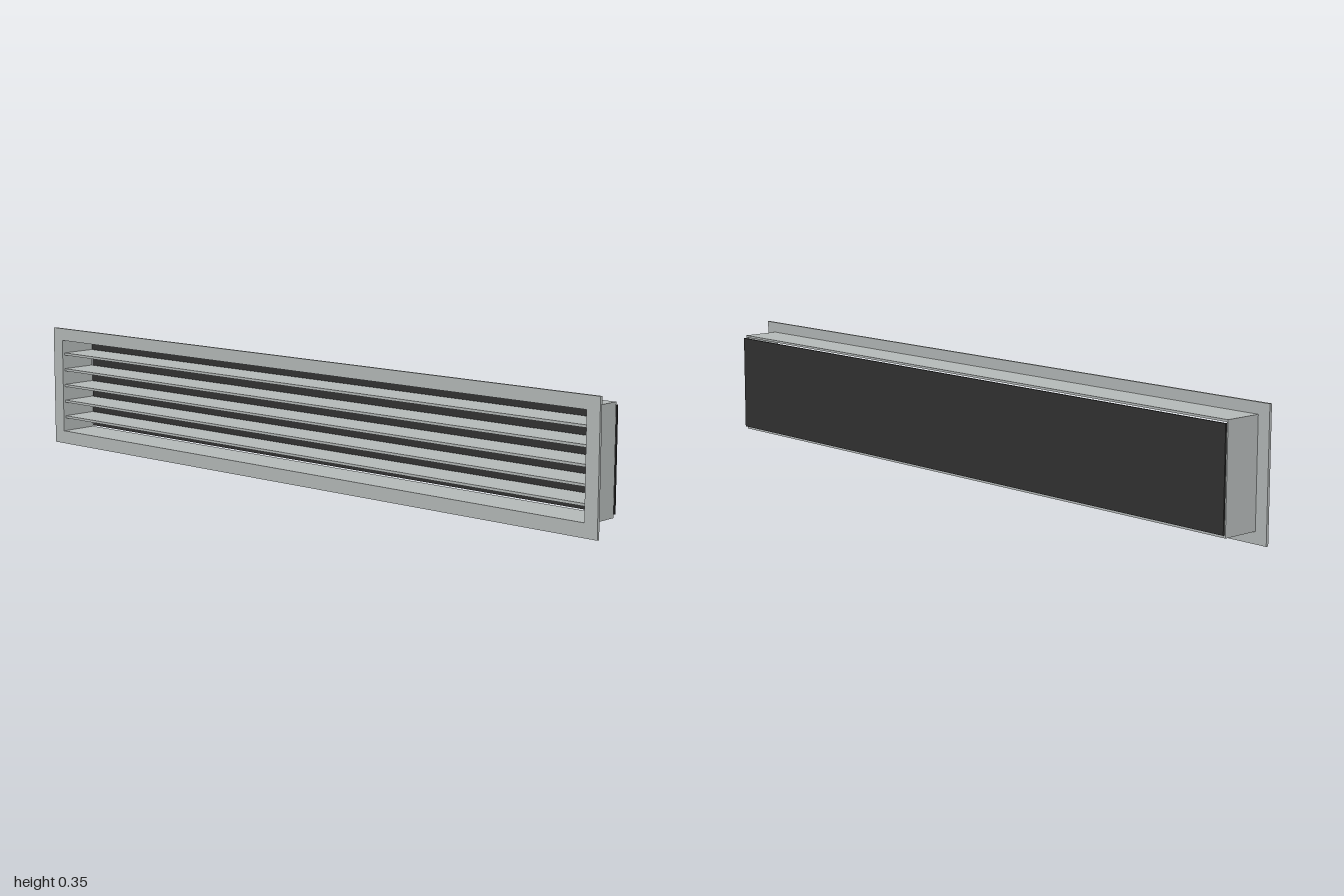
import * as THREE from 'three';

export function createModel() {
  const group = new THREE.Group();
  const metal = new THREE.MeshStandardMaterial({ color: 0xb8bdbc });
  metal.name = 'light grey metal';
  const dark = new THREE.MeshStandardMaterial({ color: 0x333333 });
  dark.name = 'dark mesh';

  const add = (name, geometry, material) => {
    const mesh = new THREE.Mesh(geometry, material);
    mesh.name = name;
    group.add(mesh);
  };

  // Rectangular ring: outer and inner bounds, extruded from z0 to z1
  const ring = (outer, inner, z0, z1) => {
    const corners = ([x, y0, y1]) => [[-x, y0], [x, y0], [x, y1], [-x, y1]].map(p => new THREE.Vector2(...p));
    const shape = new THREE.Shape(corners(outer));
    shape.holes.push(new THREE.Path(corners(inner).reverse()));
    return new THREE.ExtrudeGeometry(shape, { depth: z1 - z0, bevelEnabled: false }).translate(0, 0, z0);
  };

  const opening = [0.961, 0.038, 0.314];

  // Front flange and the duct collar behind it
  add('flange', ring([1, 0, 0.35], opening, 0.055, 0.0625), metal);
  add('collar', ring([0.965, 0.032, 0.32], opening, -0.054, 0.055), metal);

  // Five horizontal slats running the full width of the opening
  for (let i = 0; i < 5; i++) {
    const slat = new THREE.BoxGeometry(1.922, 0.007, 0.108).translate(0, 0.08 + i * 0.048, 0.001);
    add('slat' + (i + 1), slat, metal);
  }

  // Dark sheet just behind the collar
  add('backSheet', new THREE.BoxGeometry(1.93, 0.272, 0.0045).translate(0, 0.176, -0.06025), dark);

  return group;
}
